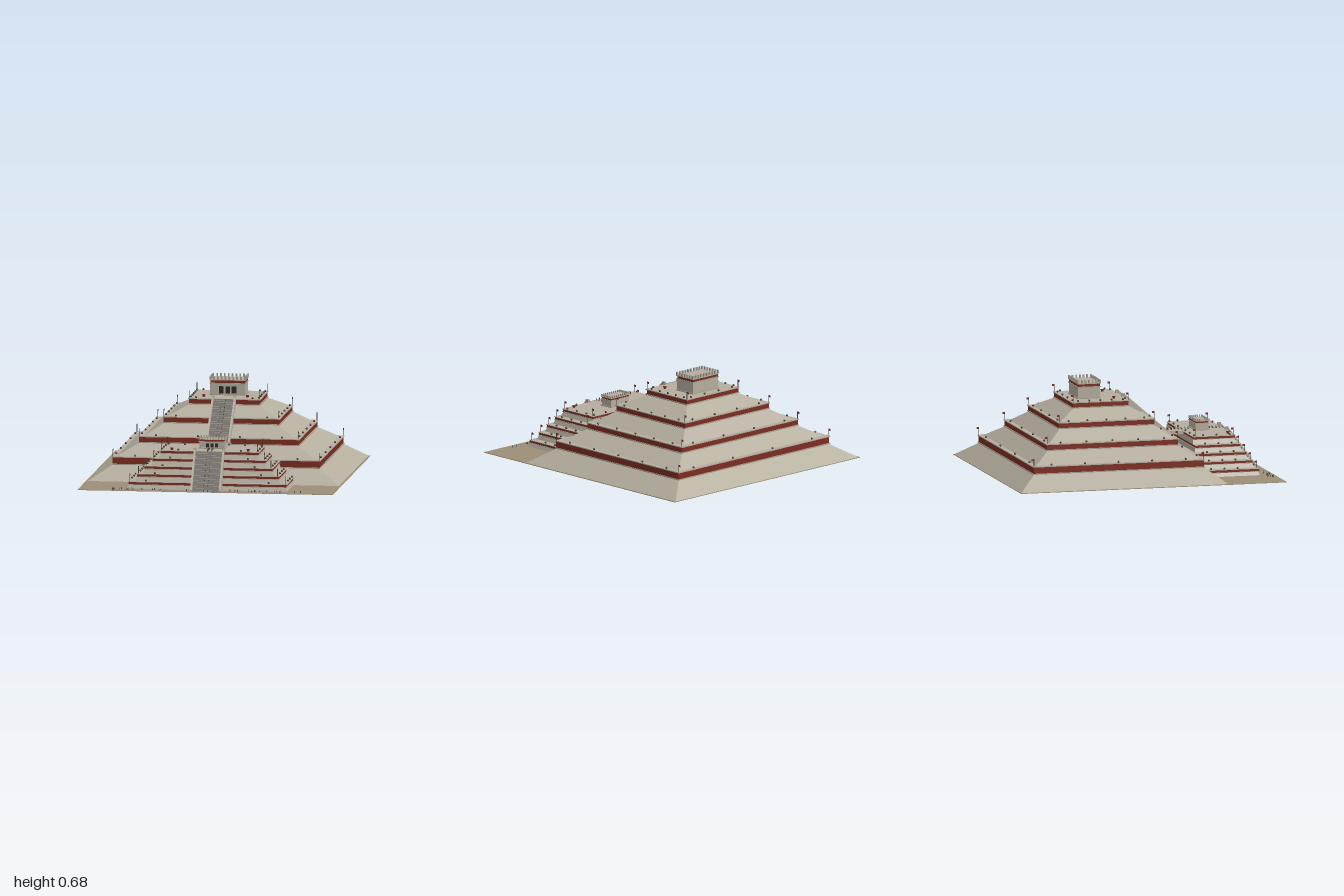
import * as THREE from 'three';

const mat = (color) => new THREE.MeshStandardMaterial({ color, side: THREE.DoubleSide, flatShading: true });
const STONE = mat(0xb5ae9f), TRIM = mat(0xa8a192), RED = mat(0x7d2c20), DARK = mat(0x2e2722),
  STEP = mat(0x96918a), EARTH = mat(0x9c8f78), POST = mat(0x4a423a);

export function createModel() {
  const root = new THREE.Group();
  root.name = 'steppedPyramid';

  const group = (name, parent = root) => {
    const g = new THREE.Group();
    g.name = name;
    parent.add(g);
    return g;
  };
  const add = (parent, name, geo, m, x = 0, y = 0, z = 0) => {
    const mesh = new THREE.Mesh(geo, m);
    mesh.name = name;
    mesh.position.set(x, y, z);
    parent.add(mesh);
    return mesh;
  };
  // Box given by its limits
  const block = (parent, name, m, x0, x1, y0, y1, z0, z1) =>
    add(parent, name, new THREE.BoxGeometry(x1 - x0, y1 - y0, z1 - z0), m, (x0 + x1) / 2, (y0 + y1) / 2, (z0 + z1) / 2);
  // Box whose upper face is smaller than its base; a = [x0, x1, z0, z1] below, b above
  const frustum = (parent, name, m, a, y0, b, y1) => {
    const geo = new THREE.BoxGeometry(1, 1, 1), p = geo.attributes.position;
    for (let i = 0; i < p.count; i++) {
      const r = p.getY(i) > 0 ? b : a;
      p.setXYZ(i, p.getX(i) > 0 ? r[1] : r[0], p.getY(i) > 0 ? y1 : y0, p.getZ(i) > 0 ? r[3] : r[2]);
    }
    geo.computeVertexNormals();
    return add(parent, name, geo, m);
  };
  // Extrude a (z, y) outline across x
  const acrossX = (parent, name, m, pts, width, x = 0) => {
    const shape = new THREE.Shape(pts.map(([z, y]) => new THREE.Vector2(z, y)));
    const geo = new THREE.ExtrudeGeometry(shape, { depth: width, bevelEnabled: false });
    geo.translate(0, 0, -width / 2).rotateY(-Math.PI / 2);
    return add(parent, name, geo, m, x);
  };

  const ballGeo = new THREE.SphereGeometry(0.008, 8, 6);
  const bowlGeo = new THREE.CylinderGeometry(0.013, 0.008, 0.016, 10);
  const poleGeo = new THREE.CylinderGeometry(0.0022, 0.0022, 0.055, 6);
  const flagGeo = new THREE.BoxGeometry(0.003, 0.014, 0.016);
  const figureGeo = new THREE.CylinderGeometry(0.002, 0.004, 0.014, 6);

  const flag = (parent, x, y, z) => {
    const g = group('bannerPole', parent);
    add(g, 'pole', poleGeo, POST, x, y + 0.0275, z);
    add(g, 'banner', flagGeo, RED, x, y + 0.047, z - 0.009);
  };
  const urn = (parent, x, y, z) => add(parent, 'urn', ballGeo, POST, x, y + 0.007, z);
  const brazier = (parent, x, y, z) => add(parent, 'brazier', bowlGeo, RED, x, y + 0.008, z);

  // Framed red band that crowns a tier
  const band = (parent, hx, z0, z1, y0, y1, t) => {
    block(parent, 'lowerMoulding', TRIM, -hx, hx, y0, y0 + t, z0, z1);
    block(parent, 'redBand', RED, -hx + 0.006, hx - 0.006, y0 + t, y1 - t, z0 + 0.006, z1 - 0.006);
    block(parent, 'upperMoulding', STONE, -hx, hx, y1 - t, y1, z0, z1);
  };

  // Ground
  block(root, 'ground', EARTH, -0.935, 0.935, 0, 0.004, -1, 1);

  // Main pyramid: wall base half-sizes, band half-sizes, heights
  const CZ = -0.216;
  const mainTiers = [
    [0.925, 0.782, 0.765, 0.648, 0.002, 0.108, 0.168],
    [0.73, 0.613, 0.592, 0.5, 0.168, 0.25, 0.3],
    [0.55, 0.466, 0.43, 0.365, 0.3, 0.38, 0.428],
    [0.4, 0.341, 0.265, 0.216, 0.428, 0.5, 0.545],
  ];
  const main = group('mainPyramid');
  mainTiers.forEach(([ax, az, bx, bz, y0, y1, y2], i) => {
    const tier = group('mainTier' + (i + 1), main);
    frustum(tier, 'slopingWall', STONE, [-ax, ax, CZ - az, CZ + az], y0,
      [-bx + 0.008, bx - 0.008, CZ - bz + 0.008, CZ + bz - 0.008], y1);
    band(tier, bx, CZ - bz, CZ + bz, y1, y2, 0.007);
    const ex = bx - 0.015, ez = bz - 0.018;
    for (const s of [-1, 1]) {
      for (const t of [-1, 1]) flag(tier, s * (bx - 0.008), y2, CZ + t * (bz - 0.008));
      for (let k = 0; k < 4; k++) {
        const x = bx * 0.78 * (-1 + (2 * k) / 3);
        if (s < 0 || Math.abs(x) > 0.12) urn(tier, x, y2, CZ + s * ez);
      }
      for (let k = 0; k < 5; k++) urn(tier, s * ex, y2, CZ + bz * 0.78 * (-1 + k / 2));
    }
  });
  for (const s of [-1, 1]) brazier(main, s * 0.16, 0.545, -0.09);

  // Front platform of five small tiers reaching back into the main pyramid
  const front = group('frontPlatform');
  const frontHx = [0.59, 0.53, 0.478, 0.425, 0.37], frontZ = [0.895, 0.865, 0.835, 0.805, 0.778];
  frontHx.forEach((hx, i) => {
    const tier = group('frontTier' + (i + 1), front);
    const y0 = i ? i * 0.054 : 0.002, y1 = i * 0.054 + 0.03, y2 = (i + 1) * 0.054;
    const z1 = frontZ[i], z0 = i < 3 ? 0.4 : 0.45;
    frustum(tier, 'tierWall', STONE, [-hx, hx, z0, z1], y0, [-hx + 0.012, hx - 0.012, z0, z1 - 0.012], y1);
    band(tier, hx - 0.005, z0, z1 - 0.005, y1, y2, 0.004);
    for (const s of [-1, 1]) {
      flag(tier, s * (hx - 0.02), y2, z1 - 0.02);
      for (let k = 0; k < 3; k++) urn(tier, s * (hx - 0.018), y2, 0.53 + k * 0.1);
      urn(tier, s * (hx - 0.14), y2, z1 - 0.018);
    }
  });
  for (const s of [-1, 1]) {
    brazier(front, s * 0.28, 0.27, 0.735);
    flag(front, s * 0.35, 0.27, 0.47);
    for (const x of [0.1, 0.22, 0.34]) urn(front, s * x, 0.27, 0.465);
  }
  // Causeway joining the platform to the upper stair
  block(root, 'causeway', STONE, -0.075, 0.075, 0.245, 0.27, 0.27, 0.46);

  // Stairs with sloping side walls
  const stair = (name, hw, zTop, yTop, zEnd, yEnd, n) => {
    const g = group(name), pts = [[zTop, yEnd]], rise = (yTop - yEnd) / n, run = (zEnd - zTop) / n;
    for (let i = 0; i < n; i++) {
      pts.push([zTop + i * run, yTop - i * rise], [zTop + (i + 1) * run, yTop - i * rise]);
    }
    pts.push([zEnd, yEnd]);
    acrossX(g, 'steps', STEP, pts, hw * 2 - 0.02);
    const wall = [[zTop - 0.01, yEnd], [zTop - 0.01, yTop + 0.016], [zTop + 0.012, yTop + 0.016], [zEnd + 0.008, yEnd + 0.014], [zEnd + 0.008, yEnd]];
    for (const s of [-1, 1]) {
      acrossX(g, 'sideWall', STONE, wall, 0.014, s * (hw - 0.007));
      block(g, 'sideWallCap', TRIM, s * (hw - 0.007) - 0.009, s * (hw - 0.007) + 0.009, yTop, yTop + 0.022, zTop - 0.014, zTop + 0.012);
    }
  };
  stair('upperStair', 0.088, 0.0, 0.545, 0.33, 0.262, 24);
  stair('lowerStair', 0.112, 0.775, 0.27, 0.98, 0.002, 22);

  // Temples: three doorways, red frieze and battlements
  const temple = (name, hx, z0, z1, y0, wallTop, top, doorHalf, doorY0, doorY1) => {
    const g = group(name), h = top - wallTop, t = 0.016;
    block(g, 'plinth', TRIM, -hx - 0.006, hx + 0.006, y0 - 0.002, y0 + 0.007, z0 - 0.006, z1 + 0.006);
    block(g, 'core', STONE, -hx, hx, y0, wallTop, z0, z1 - t);
    block(g, 'darkInterior', DARK, -doorHalf, doorHalf, doorY0, doorY1, z1 - t, z1 - t + 0.002);
    const face = new THREE.Shape([[-hx, y0], [hx, y0], [hx, wallTop], [-hx, wallTop]].map((p) => new THREE.Vector2(...p)));
    const w = doorHalf * 0.56;
    for (const k of [-1, 0, 1]) {
      const c = k * (doorHalf - w / 2);
      face.holes.push(new THREE.Path([[c - w / 2, doorY0], [c - w / 2, doorY1], [c + w / 2, doorY1], [c + w / 2, doorY0]]
        .map((p) => new THREE.Vector2(...p))));
    }
    add(g, 'doorwayWall', new THREE.ExtrudeGeometry(face, { depth: t, bevelEnabled: false }), STONE, 0, 0, z1 - t);
    band(g, hx + 0.005, z0 - 0.005, z1 + 0.005, wallTop, wallTop + h * 0.58, h * 0.12);
    const roof = wallTop + h * 0.58, size = hx * 0.09;
    const merlon = new THREE.BoxGeometry(size, h * 0.42, size);
    const row = (n, fn) => {
      for (let k = 0; k <= n; k++) for (const s of [0, 1]) {
        const [x, z] = fn(k / n, s);
        add(g, 'merlon', merlon, TRIM, x, roof + h * 0.21, z);
      }
    };
    row(9, (u, s) => [-hx + u * 2 * hx, s ? z1 : z0]);
    row(6, (u, s) => [s ? hx : -hx, z0 + u * (z1 - z0)]);
  };
  temple('upperTemple', 0.127, -0.35, -0.185, 0.545, 0.628, 0.682, 0.065, 0.556, 0.61);
  temple('lowerTemple', 0.092, 0.545, 0.64, 0.27, 0.32, 0.355, 0.045, 0.277, 0.308);

  // Double file of tiny figures on the stairs and causeway
  const people = group('figures');
  const path = (z) => {
    if (z < 0.33) return 0.545 - (z / 0.33) * 0.283 + 0.002;
    if (z < 0.775) return 0.27;
    return Math.max(0.004, 0.27 - ((z - 0.775) / 0.205) * 0.268);
  };
  for (let z = 0.02; z < 0.99; z += 0.026) {
    if (z > 0.53 && z < 0.655) continue;
    for (const s of [-1, 1]) add(people, 'figure', figureGeo, POST, s * 0.014, path(z) + 0.007, z);
  }
  // Crowd on the ground in front
  let seed = 7;
  const rnd = () => (seed = (seed * 16807) % 2147483647) / 2147483647;
  for (let i = 0; i < 34; i++) {
    const x = (i % 2 ? 1 : -1) * (0.14 + rnd() * 0.59);
    add(people, 'figure', figureGeo, POST, x, 0.011, 0.925 + rnd() * 0.05);
  }
  return root;
}
